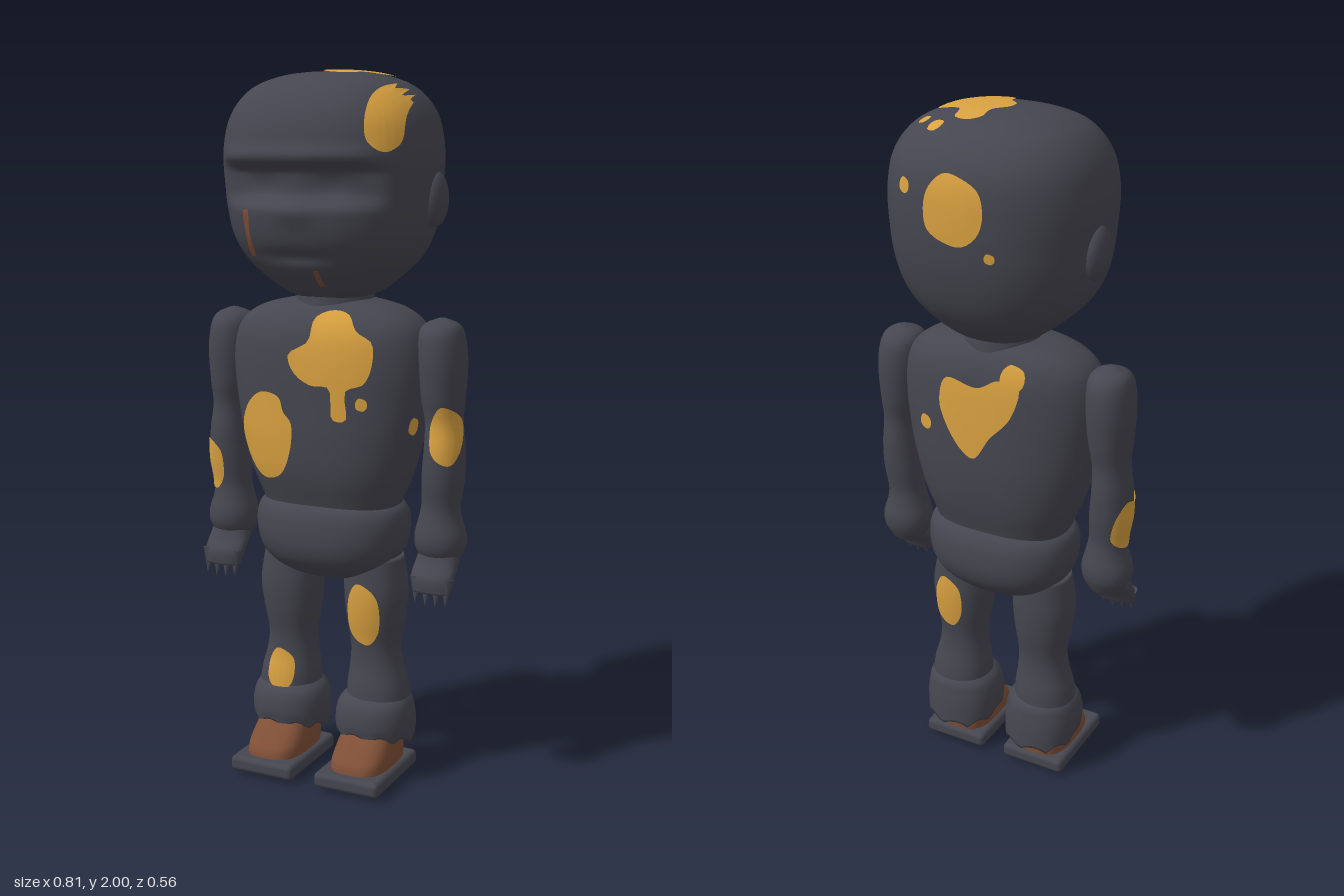
import * as THREE from 'three';
import { RoundedBoxGeometry } from 'three/addons/geometries/RoundedBoxGeometry.js';

const mat = (name, color) => Object.assign(new THREE.MeshStandardMaterial({ color }), { name });

// Smooth closed body from cross-sections, bottom to top: [y, xA, xB, zFront, zBack]
function loft(rows, { steps = 40, segs = 40, power = 2.3, bend } = {}) {
  const cols = [0, 1, 2, 3, 4].map(k =>
    new THREE.SplineCurve(rows.map((r, i) => new THREE.Vector2(i, r[k]))));
  const pos = [], idx = [], p = new THREE.Vector3();
  const pw = v => Math.sign(v) * Math.pow(Math.abs(v), 2 / power);
  for (let i = 0; i <= steps; i++) {
    const [y, xa, xb, zf, zb] = cols.map(c => c.getPoint(i / steps).y);
    for (let j = 0; j < segs; j++) {
      const t = j / segs * Math.PI * 2;
      p.set((xa + xb) / 2 + Math.abs(xb - xa) / 2 * pw(Math.cos(t)), y,
        (zf + zb) / 2 - (zf - zb) / 2 * pw(Math.sin(t)));
      if (bend) bend(p, t);
      pos.push(p.x, p.y, p.z);
    }
  }
  for (let i = 0; i < steps; i++) for (let j = 0; j < segs; j++) {
    const a = i * segs + j, b = i * segs + (j + 1) % segs;
    idx.push(a, b, a + segs, b, b + segs, a + segs);
  }
  const low = rows[0], top = rows[rows.length - 1], n = (steps + 1) * segs, last = steps * segs;
  for (const r of [low, top]) pos.push((r[1] + r[2]) / 2, r[0], (r[3] + r[4]) / 2);
  for (let j = 0; j < segs; j++) {
    const k = (j + 1) % segs;
    idx.push(n, k, j, n + 1, last + j, last + k);
  }
  const g = new THREE.BufferGeometry();
  g.setAttribute('position', new THREE.Float32BufferAttribute(pos, 3));
  g.setIndex(idx);
  g.computeVertexNormals();
  return g;
}

const oval = (rx, ry) => Array.from({ length: 10 }, (_, i) => {
  const t = i / 10 * Math.PI * 2, w = 1 + 0.05 * Math.sin(i * 2.4);
  return [rx * w * Math.cos(t), ry * w * Math.sin(t)];
});

// Thin painted patch: an outline around a centre, laid onto a body along a direction
function patchGeometry(target, dir, center, outline) {
  const d = new THREE.Vector3(...dir).normalize();
  const up = Math.abs(d.y) > 0.9 ? new THREE.Vector3(0, 0, -1) : new THREE.Vector3(0, 1, 0);
  const u = up.clone().cross(d).normalize(), v = d.clone().cross(u);
  const pts = outline.map(q => new THREE.Vector3(q[0], q[1], 0));
  if (THREE.ShapeUtils.isClockWise(pts)) pts.reverse();
  const N = 48, R = 7, pos = [], idx = [], ray = new THREE.Raycaster();
  const edge = new THREE.CatmullRomCurve3(pts, true).getPoints(N);
  for (let r = 0; r <= R; r++) for (let j = 0; j < N; j++) {
    const o = new THREE.Vector3(...center).addScaledVector(u, edge[j].x * r / R)
      .addScaledVector(v, edge[j].y * r / R).addScaledVector(d, 1);
    ray.set(o, d.clone().negate());
    const hit = ray.intersectObject(target)[0];
    if (hit) {
      const q = hit.point.addScaledVector(hit.face.normal, 0.004);
      pos.push(q.x, q.y, q.z);
    } else if (r) pos.push(...pos.slice(((r - 1) * N + j) * 3, ((r - 1) * N + j) * 3 + 3));
    else pos.push(...center);
    if (r < R) {
      const a = r * N + j, b = r * N + (j + 1) % N;
      idx.push(a, a + N, b, b, a + N, b + N);
    }
  }
  const g = new THREE.BufferGeometry();
  g.setAttribute('position', new THREE.Float32BufferAttribute(pos, 3));
  g.setIndex(idx);
  g.computeVertexNormals();
  return g;
}

export function createModel() {
  const model = new THREE.Group();
  const dark = mat('charcoal', 0x464650), gold = mat('gold', 0xd9a140), brown = mat('brown', 0x7f4f36);
  gold.side = brown.side = THREE.DoubleSide;
  const add = (name, g, m = dark) => {
    const mesh = new THREE.Mesh(g, m);
    mesh.name = name;
    model.add(mesh);
    return mesh;
  };
  const paint = (name, target, dir, center, outline, m = gold) =>
    add(name, patchGeometry(target, dir, center, outline), m);
  const F = [0, 0, 1], B = [0, 0, -1], U = [0, 1, 0];
  const sym = rows => rows.map(([y, x, f, b]) => [y, -x, x, f, b]);

  // Head, with brow ridge, eye sockets, nose and mouth pressed into the front
  const bump = (a, c, w) => Math.exp(-(((a - c) / w) ** 2));
  const face = p => {
    const k = THREE.MathUtils.smoothstep(p.z, 0.06, 0.2), ax = Math.abs(p.x);
    const wide = 1 - THREE.MathUtils.smoothstep(ax, 0.17, 0.27);
    const recess = THREE.MathUtils.smoothstep(p.y, 1.63, 1.68) * (1 - THREE.MathUtils.smoothstep(p.y, 1.735, 1.765));
    p.z += k * (0.014 * bump(p.y, 1.775, 0.025) * wide - 0.03 * recess * wide
      - 0.018 * bump(ax, 0.1, 0.06) * bump(p.y, 1.7, 0.04)
      + 0.015 * bump(ax, 0, 0.04) * bump(p.y, 1.63, 0.035)
      - 0.012 * bump(ax, 0, 0.1) * bump(p.y, 1.51, 0.018));
  };
  const head = add('head', loft(sym([
    [1.385, 0.08, 0.06, -0.11], [1.405, 0.13, 0.11, -0.15], [1.45, 0.19, 0.165, -0.2],
    [1.5, 0.24, 0.205, -0.235], [1.56, 0.272, 0.235, -0.26], [1.63, 0.288, 0.25, -0.277],
    [1.7, 0.295, 0.257, -0.284], [1.77, 0.299, 0.26, -0.285], [1.83, 0.293, 0.256, -0.282],
    [1.88, 0.28, 0.24, -0.27], [1.925, 0.253, 0.212, -0.243], [1.96, 0.213, 0.172, -0.204],
    [1.985, 0.15, 0.11, -0.145], [1.996, 0.08, 0.05, -0.085], [1.999, 0.004, -0.014, -0.022],
  ]), { steps: 90, segs: 64, power: 2.35, bend: face }));
  for (const s of [1, -1]) {
    const ear = add(s > 0 ? 'leftEar' : 'rightEar', new THREE.SphereGeometry(1, 20, 14));
    ear.scale.set(0.032, 0.075, 0.055);
    ear.position.set(s * 0.288, 1.66, -0.045);
  }
  add('neck', new THREE.CylinderGeometry(0.105, 0.115, 0.08, 32)).position.set(0, 1.385, -0.02);

  // Torso and pelvis
  const torso = add('torso', loft(sym([
    [0.77, 0.19, 0.11, -0.13], [0.82, 0.205, 0.125, -0.14], [0.9, 0.237, 0.148, -0.16],
    [1.0, 0.265, 0.156, -0.17], [1.1, 0.284, 0.156, -0.17], [1.2, 0.294, 0.155, -0.167],
    [1.28, 0.286, 0.148, -0.162], [1.33, 0.26, 0.13, -0.15], [1.365, 0.2, 0.1, -0.13], [1.385, 0.11, 0.06, -0.1],
  ]), { steps: 50, segs: 56, power: 2.5 }));
  add('pelvis', loft(sym([
    [0.578, 0.02, 0, -0.02], [0.588, 0.08, 0.05, -0.07], [0.61, 0.145, 0.095, -0.115],
    [0.65, 0.195, 0.135, -0.153], [0.7, 0.219, 0.152, -0.17], [0.76, 0.225, 0.15, -0.168],
    [0.8, 0.213, 0.136, -0.153], [0.822, 0.18, 0.11, -0.13],
  ]), { steps: 40, segs: 48, power: 2.4 }));

  const arms = {}, legs = {};
  for (const s of [1, -1]) {
    const side = s > 0 ? 'left' : 'right';
    const flip = rows => rows.map(([y, a, b, f, k]) => [y, s * a, s * b, f, k]);

    // Arm, wrist bulge and hand
    arms[s] = add(side + 'Arm', loft(flip([
      [0.66, 0.285, 0.375, 0.03, -0.055], [0.7, 0.262, 0.4, 0.055, -0.075], [0.74, 0.258, 0.403, 0.06, -0.08],
      [0.79, 0.27, 0.388, 0.05, -0.07], [0.83, 0.277, 0.385, 0.046, -0.066], [0.9, 0.277, 0.395, 0.055, -0.075],
      [0.98, 0.283, 0.394, 0.058, -0.08], [1.06, 0.284, 0.386, 0.05, -0.078], [1.13, 0.272, 0.39, 0.062, -0.09],
      [1.22, 0.262, 0.394, 0.07, -0.098], [1.29, 0.262, 0.387, 0.064, -0.092], [1.325, 0.275, 0.372, 0.04, -0.068],
      [1.343, 0.315, 0.335, -0.008, -0.024],
    ]), { steps: 60, segs: 32, power: 2.1 }));
    add(side + 'Hand', loft(flip([
      [0.59, 0.277, 0.388, 0.08, 0.035], [0.63, 0.268, 0.393, 0.08, 0.01],
      [0.67, 0.27, 0.392, 0.055, -0.03], [0.72, 0.285, 0.38, 0.035, -0.05],
    ]), { steps: 16, segs: 28 }));
    for (let i = 0; i < 4; i++) {
      const finger = add(side + 'Finger', new THREE.ConeGeometry(0.02, 0.075, 10));
      finger.rotation.x = Math.PI - 0.2;
      finger.position.set(s * (0.288 + 0.03 * i), 0.588 + (i === 0 || i === 3 ? 0.006 : 0), 0.062);
    }

    // Leg and ragged trouser cuff
    legs[s] = add(side + 'Leg', loft(flip([
      [0.13, 0.06, 0.22, 0.07, -0.09], [0.2, 0.052, 0.233, 0.072, -0.1], [0.27, 0.052, 0.23, 0.068, -0.097],
      [0.34, 0.06, 0.212, 0.056, -0.085], [0.4, 0.062, 0.205, 0.056, -0.084], [0.48, 0.05, 0.218, 0.07, -0.095],
      [0.56, 0.043, 0.226, 0.076, -0.1], [0.66, 0.045, 0.21, 0.07, -0.095],
    ]), { steps: 44, segs: 36, power: 2.2 }));
    add(side + 'Cuff', loft(flip([
      [0.12, 0.025, 0.245, 0.1, -0.125], [0.16, 0.022, 0.25, 0.103, -0.122],
      [0.2, 0.025, 0.248, 0.1, -0.115], [0.23, 0.035, 0.24, 0.088, -0.108], [0.25, 0.055, 0.225, 0.06, -0.09],
    ]), {
      steps: 16, segs: 48, power: 2.3,
      bend: (p, t) => {
        const low = 1 - THREE.MathUtils.smoothstep(p.y, 0.12, 0.18);
        p.y += low * (0.018 * Math.abs(Math.sin(t * 4.5)) - 0.012 - 0.02 * Math.sin(t));
      },
    }));

    // Shoe with flat sole
    add(side + 'Shoe', loft(flip([
      [0.04, 0.05, 0.22, 0.175, -0.08], [0.075, 0.05, 0.22, 0.168, -0.082], [0.105, 0.052, 0.218, 0.14, -0.082],
      [0.14, 0.058, 0.212, 0.1, -0.08], [0.17, 0.065, 0.205, 0.06, -0.075],
    ]), { steps: 16, segs: 32, power: 3 }), brown);
    add(side + 'Sole', new RoundedBoxGeometry(0.2, 0.045, 0.29, 3, 0.015)).position.set(s * 0.135, 0.033, 0.055);
    add(side + 'SolePlate', new THREE.BoxGeometry(0.11, 0.009, 0.16), brown).position.set(s * 0.135, 0.0075, 0.055);
  }
  model.updateMatrixWorld(true);

  // Painted patches on the head
  paint('crownPatch', head, U, [0.05, 1.9, -0.03], [[-0.05, 0.1], [-0.02, 0.12], [0.02, 0.11], [0.035, 0.06],
    [0.11, 0.04], [0.1, -0.05], [0.07, -0.07], [0.04, -0.11], [0, -0.12], [-0.04, -0.1], [-0.05, -0.06],
    [-0.08, -0.03], [-0.08, 0.01], [-0.05, 0.05]]);
  paint('crownSpot', head, U, [0.105, 1.9, -0.175], oval(0.02, 0.02));
  paint('crownSpot', head, U, [0.157, 1.9, -0.14], oval(0.015, 0.015));
  paint('foreheadPatch', head, F, [0.227, 1.87, 0], [[-0.037, 0.07], [-0.017, 0.088], [0.018, 0.08],
    [0.036, -0.01], [0.034, -0.065], [0.01, -0.085], [-0.027, -0.06], [-0.04, 0]]);
  paint('napePatch', head, B, [0, 1.79, 0], oval(0.085, 0.09));
  paint('napeSpot', head, B, [0.15, 1.83, 0], oval(0.018, 0.02));
  paint('napeSpot', head, B, [-0.1, 1.68, 0], oval(0.014, 0.014));
  const streak = (w, h) => [[-w, -h], [0, -h], [w, -h], [w, 0], [w, h], [0, h], [-w, h], [-w, 0]];
  paint('cheekStreak', head, F, [-0.145, 1.572, 0], streak(0.008, 0.062), brown);
  paint('chinStreak', head, F, [0.042, 1.455, 0], streak(0.007, 0.022), brown);

  // Painted patches on the torso
  paint('chestPatch', torso, F, [0.08, 1.23, 0], [[-0.14, 0.01], [-0.08, 0.05], [-0.07, 0.11], [-0.025, 0.13],
    [0.025, 0.12], [0.055, 0.08], [0.1, 0.05], [0.1, -0.02], [0.08, -0.06], [0.033, -0.08], [0.033, -0.16],
    [-0.005, -0.16], [-0.015, -0.075], [-0.07, -0.07], [-0.12, -0.04]]);
  paint('bellyPatch', torso, F, [-0.145, 1.0, 0], [[-0.085, 0.01], [-0.055, 0.09], [-0.005, 0.13], [0.055, 0.12],
    [0.07, 0.08], [0.095, 0.05], [0.09, -0.03], [0.055, -0.1], [-0.005, -0.115], [-0.055, -0.07]]);
  paint('chestSpot', torso, F, [0.155, 1.115, 0], oval(0.016, 0.018));
  paint('sideSpot', torso, [1, 0, 0.5], [0.27, 1.05, 0.05], oval(0.018, 0.025));
  paint('backPatch', torso, B, [0, 1.18, 0], [[-0.1, 0.1], [0, 0.09], [0.06, 0.12], [0.12, 0.11], [0.1, 0.02],
    [0.04, -0.05], [-0.01, -0.12], [-0.05, -0.1], [-0.1, -0.03], [-0.12, 0.03]]);
  paint('backSpot', torso, B, [0.17, 1.13, 0], oval(0.02, 0.022));
  paint('shoulderPatch', torso, B, [-0.1, 1.31, 0], oval(0.035, 0.035));

  // Painted patches on the limbs
  paint('leftElbowPatch', arms[1], [0.3, 0, 1], [0.348, 1.028, 0], oval(0.042, 0.082));
  paint('rightForearmPatch', arms[-1], [-0.3, 0, 1], [-0.355, 0.885, 0], oval(0.042, 0.076));
  paint('rightForearmPatch', arms[-1], [-1, 0, -0.3], [-0.34, 0.885, -0.005], oval(0.052, 0.076));
  paint('leftThighPatch', legs[1], F, [0.128, 0.497, 0], oval(0.05, 0.092));
  paint('rightShinPatch', legs[-1], F, [-0.137, 0.292, 0], oval(0.041, 0.063));
  paint('leftThighBackPatch', legs[1], B, [0.145, 0.52, 0], oval(0.045, 0.085));
  return model;
}
